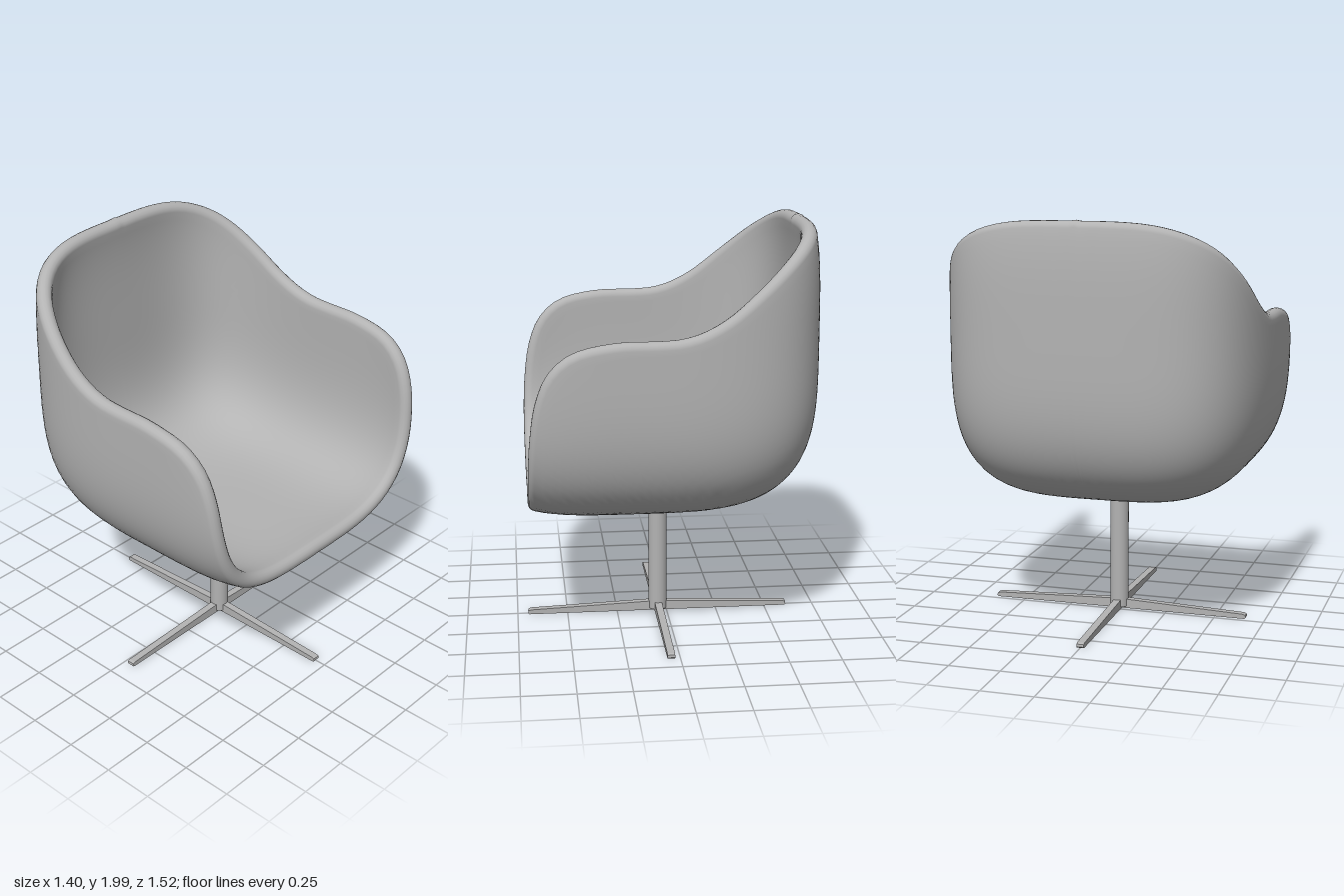
import * as THREE from 'three';
import { mergeVertices } from 'three/addons/utils/BufferGeometryUtils.js';

const V = (x, y, z) => new THREE.Vector3(x, y, z);
const R = 0.037;               // half the shell thickness
const N = 3.7;                 // squareness of the rounded body
const CENTRE = V(0.2, 1.45, 0);

// Half sizes of the shell's middle surface along a direction
const extents = (d) => [
  (d.x < 0 ? 0.9 : 0.85) - R,
  (d.y < 0 ? 0.84 : 1.0) - R,
  0.762 - R,
];

// Point and outward normal of the middle surface in a direction from the centre
function surface(d) {
  const e = extents(d);
  const c = d.toArray();
  const k = c.reduce((s, v, i) => s + Math.abs(v / e[i]) ** N, 0) ** (-1 / N);
  const n = c.map((v, i) => Math.sign(v) * Math.abs((v * k) / e[i]) ** (N - 1) / e[i]);
  return { p: d.clone().multiplyScalar(k).add(CENTRE), n: V(...n).normalize() };
}

// Rim in side elevation: seat edge, arm front, arm top, sloping up to the back
const rimProfile = new THREE.CatmullRomCurve3([
  [0.655, 0.672], [0.655, 0.9], [0.645, 1.08], [0.62, 1.24], [0.57, 1.36],
  [0.48, 1.44], [0.3, 1.483], [0.1, 1.488], [0, 1.495], [-0.1, 1.522],
  [-0.22, 1.585], [-0.37, 1.705], [-0.5, 1.82], [-0.6, 1.91], [-0.65, 1.962],
].map(([x, y]) => V(x, y, 0)));

// Closed rim loop on the middle surface, evenly spaced and mirrored
function rimLoop(half) {
  const pts = [];
  for (let i = 0; i <= 300; i++) {
    const t = i / 300;
    const s = t ** 4 / (t ** 4 + (1 - t) ** 4);
    const d = rimProfile.getPoint(s).sub(CENTRE);
    const e = extents(d);
    const rest = 1 - Math.abs(d.x / e[0]) ** N - Math.abs(d.y / e[1]) ** N;
    d.z = i === 0 || i === 300 ? 0 : e[2] * Math.max(0, rest) ** (1 / N);
    const p = surface(d).p;
    if (!pts.length || p.distanceTo(pts[pts.length - 1]) > 1e-4) pts.push(p);
  }
  const side = new THREE.CatmullRomCurve3(pts).getSpacedPoints(half);
  const other = side.slice(1, -1).reverse().map((p) => V(p.x, p.y, -p.z));
  return [...side, ...other];
}

// Padded shell: outer skin, rounded lip, inner skin, in columns from a pole to the rim
function shellGeometry() {
  const rim = rimLoop(64), cols = rim.length, steps = 32, lip = 8;
  const rows = 2 * (steps + 1) + lip - 1;
  const pole = V(-0.7, -0.7, 0).normalize();
  const pos = [], idx = [];
  rim.forEach((p, j) => {
    const end = p.clone().sub(CENTRE).normalize();
    const angle = pole.angleTo(end);
    const skin = (t) => surface(
      pole.clone().multiplyScalar(Math.sin((1 - t) * angle))
        .addScaledVector(end, Math.sin(t * angle)).normalize());
    const column = Array.from({ length: steps + 1 }, (_, i) => skin(i / steps));
    const last = column[steps];
    const along = rim[(j + 1) % cols].clone().sub(rim[(j + cols - 1) % cols]);
    const out = along.cross(last.n).normalize();
    if (out.dot(last.p.clone().sub(column[steps - 1].p)) < 0) out.negate();
    column.forEach((s) => pos.push(...s.p.clone().addScaledVector(s.n, R).toArray()));
    for (let k = 1; k < lip; k++) {
      const a = (k / lip) * Math.PI;
      pos.push(...last.p.clone().addScaledVector(last.n, R * Math.cos(a))
        .addScaledVector(out, R * Math.sin(a)).toArray());
    }
    column.reverse().forEach((s) => pos.push(...s.p.clone().addScaledVector(s.n, -R).toArray()));
  });
  for (let j = 0; j < cols; j++) {
    for (let i = 0; i < rows - 1; i++) {
      const a = j * rows + i, b = ((j + 1) % cols) * rows + i;
      idx.push(a, a + 1, b, b, a + 1, b + 1);
    }
  }
  // Make the faces point outwards: the enclosed volume must be positive
  const at = (i) => V(pos[3 * i], pos[3 * i + 1], pos[3 * i + 2]);
  let volume = 0;
  for (let i = 0; i < idx.length; i += 3) {
    volume += at(idx[i]).dot(at(idx[i + 1]).cross(at(idx[i + 2])));
  }
  if (volume < 0) idx.reverse();
  const g = new THREE.BufferGeometry();
  g.setAttribute('position', new THREE.Float32BufferAttribute(pos, 3));
  g.setIndex(idx);
  const merged = mergeVertices(g, 1e-5);
  merged.computeVertexNormals();
  return merged;
}

// Flat foot blade, tapering to a softly rounded tip
function legGeometry() {
  const s = new THREE.Shape();
  s.moveTo(0, 0);
  s.lineTo(0.65, 0);
  s.lineTo(0.655, 0.006);
  s.lineTo(0.653, 0.018);
  s.lineTo(0.64, 0.023);
  s.lineTo(0, 0.048);
  return new THREE.ExtrudeGeometry(s, { depth: 0.036, bevelEnabled: false })
    .translate(0, 0, -0.018);
}

export function createModel() {
  const grey = new THREE.MeshStandardMaterial({ color: 0xb3b3b3 });
  grey.name = 'grey';
  const model = new THREE.Group();
  model.name = 'swivelChair';
  const add = (name, geometry, parent = model) => {
    const mesh = new THREE.Mesh(geometry, grey);
    mesh.name = name;
    parent.add(mesh);
    return mesh;
  };

  add('seatShell', shellGeometry());

  // Pedestal: round post on a four-armed foot
  const base = new THREE.Group();
  base.name = 'base';
  base.position.x = 0.043;
  model.add(base);
  add('post', new THREE.CylinderGeometry(0.046, 0.046, 0.63, 24), base).position.y = 0.325;
  const leg = legGeometry();
  for (let i = 0; i < 4; i++) add('leg' + (i + 1), leg, base).rotation.y = (i * Math.PI) / 2;
  return model;
}
